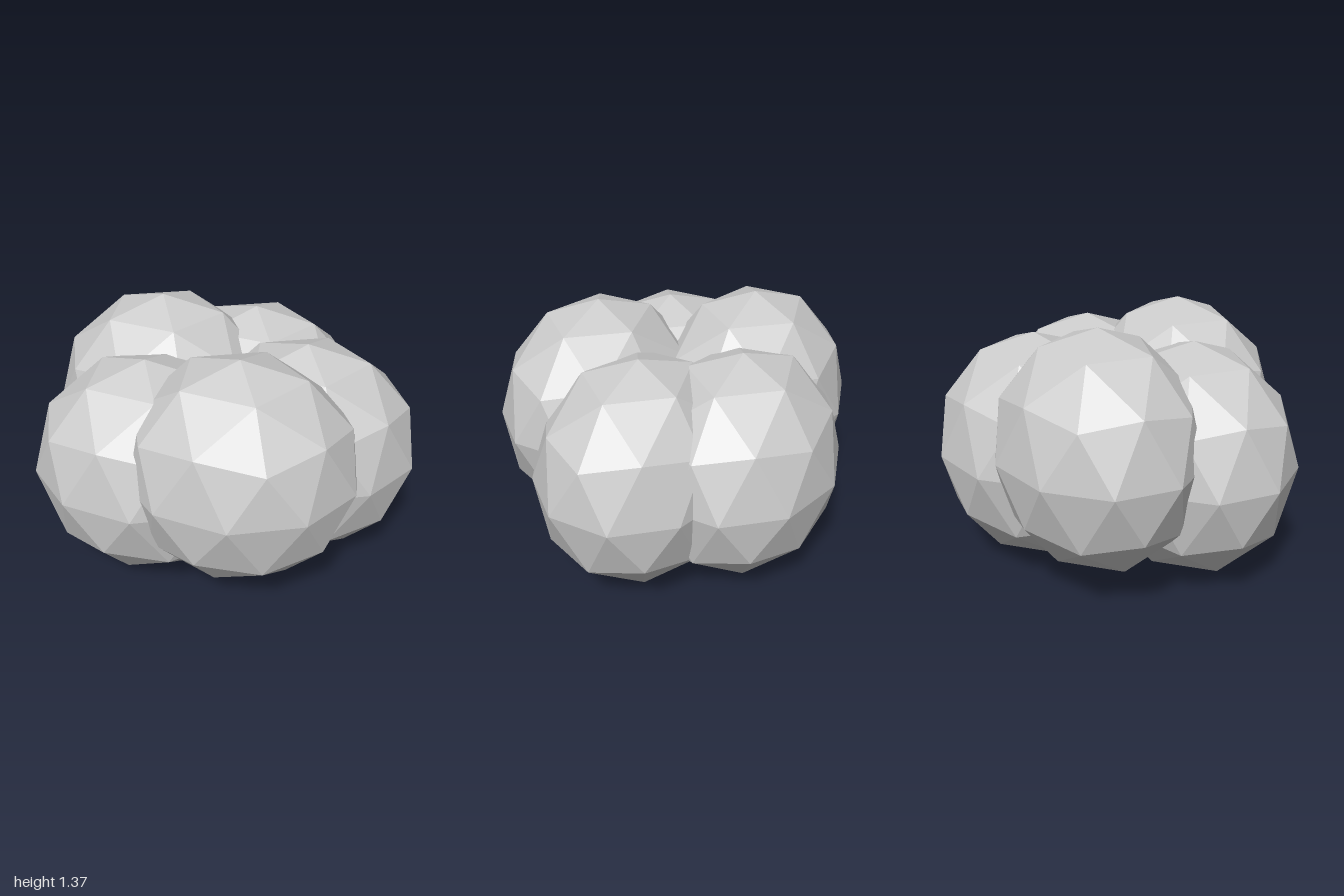
import * as THREE from 'three';

// Faceted lobe: subdivided icosahedron with a vertex pointing straight up, narrowed front to back
function lobeGeometry(radius, depthScale) {
  const geo = new THREE.IcosahedronGeometry(radius, 1);
  geo.rotateZ(-Math.atan(2 / (1 + Math.sqrt(5))));
  geo.scale(1, 1, depthScale);
  geo.computeVertexNormals(); // non-indexed, so normals come out flat
  return geo;
}

export function createModel() {
  const group = new THREE.Group();
  group.name = 'lobeCluster';
  const lightGrey = new THREE.MeshStandardMaterial({ color: 0xcccccc });
  lightGrey.name = 'lightGrey';

  const radius = 0.625, ring = 0.448, lift = 0.12;
  const shift = -ring * (1 - Math.cos(Math.PI / 5)) / 2; // centres the ring on x
  const geo = lobeGeometry(radius, 0.857);
  const names = ['leftLobe', 'frontLobe', 'frontRightLobe', 'backRightLobe', 'backLobe'];

  // Five lobes in a ring, every second one raised
  names.forEach((name, i) => {
    const a = i * Math.PI * 2 / 5;
    const lobe = new THREE.Mesh(geo, lightGrey);
    lobe.name = name;
    lobe.position.set(shift + ring * Math.cos(a), radius + (i % 2) * lift, ring * Math.sin(a));
    group.add(lobe);
  });
  return group;
}
